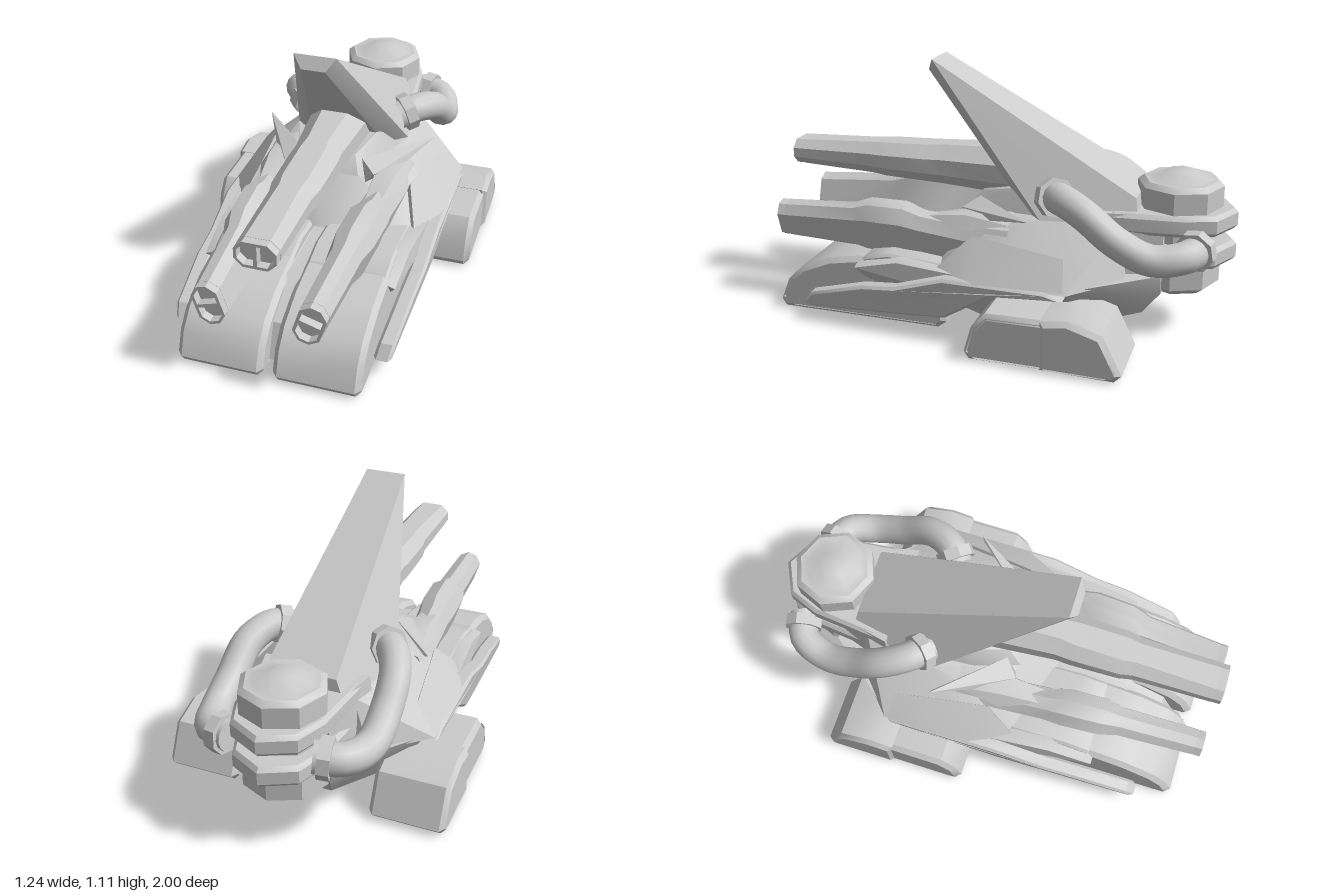
import * as THREE from 'three';
import { toCreasedNormals } from 'three/addons/utils/BufferGeometryUtils.js';
import { ConvexGeometry } from 'three/addons/geometries/ConvexGeometry.js';

const material = new THREE.MeshStandardMaterial({ color: 0xcccccc });

// Mirror a geometry across x = 0, restoring the winding.
function mirrored(geo) {
  const g = geo.index ? geo.toNonIndexed() : geo.clone();
  g.scale(-1, 1, 1);
  const p = g.attributes.position, a = new THREE.Vector3(), b = new THREE.Vector3();
  for (let i = 0; i < p.count; i += 3) {
    a.fromBufferAttribute(p, i + 1);
    b.fromBufferAttribute(p, i + 2);
    p.setXYZ(i + 1, b.x, b.y, b.z);
    p.setXYZ(i + 2, a.x, a.y, a.z);
  }
  return g;
}

// Convex solid from [x, y, z] points; 'both' adds the points at -x.
function hull(points, both = true) {
  const v = points.map(p => new THREE.Vector3(...p));
  if (both) for (const [x, y, z] of points) v.push(new THREE.Vector3(-x, y, z));
  return new ConvexGeometry(v);
}

const outline = pts => pts.map(p => new THREE.Vector2(...p));

// Side profile of [z, y] points, extruded from x0 to x1 with chamfered edges.
function slab(profile, x0, x1, bevel = 0.02, hole = null) {
  const shape = new THREE.Shape(outline(profile));
  if (hole) shape.holes.push(new THREE.Path(outline(hole)));
  return new THREE.ExtrudeGeometry(shape, {
    depth: x1 - x0 - 2 * bevel, bevelEnabled: bevel > 0, bevelSize: bevel,
    bevelOffset: -bevel, bevelThickness: bevel, bevelSegments: 1,
  }).rotateY(-Math.PI / 2).translate(x1 - bevel, 0, 0);
}

// Chamfered octagon, counter-clockwise, half sizes a and b.
function octagon(a, b, c = b * 0.62) {
  return [[a, -b + c], [a, b - c], [a - c, b], [c - a, b], [-a, b - c], [-a, c - b], [c - a, -b], [a - c, -b]];
}

// Octagonal loft through stations [z, cx, cy, a, b], front to back, rolled about z.
function loft(stations, roll) {
  const pos = [], idx = [], n = 8, cs = Math.cos(roll), sn = Math.sin(roll);
  for (const [z, cx, cy, a, b] of stations)
    for (const [x, y] of octagon(a, b)) pos.push(cx + x * cs - y * sn, cy + x * sn + y * cs, z);
  const last = stations.length - 1;
  for (let i = 0; i < last; i++) for (let j = 0; j < n; j++) {
    const a = i * n + j, b = i * n + (j + 1) % n;
    idx.push(a, a + n, b, b, a + n, b + n);
  }
  for (let j = 1; j < n - 1; j++) {
    idx.push(0, j, j + 1);
    idx.push(last * n, last * n + j + 1, last * n + j);
  }
  const g = new THREE.BufferGeometry();
  g.setAttribute('position', new THREE.Float32BufferAttribute(pos, 3));
  g.setIndex(idx);
  return g;
}

// Twin-bore muzzle ring that finishes a barrel at z = 1.
function muzzle(cx, cy, a, b, roll) {
  const shape = new THREE.Shape(outline(octagon(a, b)));
  const t = 0.012, k = b * 0.45, h = b - t;
  for (const s of [1, -1]) {
    const bore = [[t * 0.6, -h], [a - t - k, -h], [a - t, -h + k], [a - t, h - k], [a - t - k, h], [t * 0.6, h]];
    shape.holes.push(new THREE.Path(outline(bore.map(([x, y]) => [x * s, y]))));
  }
  return new THREE.ExtrudeGeometry(shape, { depth: 0.05, bevelEnabled: false })
    .rotateZ(roll).translate(cx, cy, 0.95);
}

export function createModel() {
  const model = new THREE.Group();
  const add = (name, geo) => {
    const g = geo.index ? geo.toNonIndexed() : geo.clone();
    g.deleteAttribute('uv');
    g.deleteAttribute('normal');
    g.computeVertexNormals();
    const mesh = new THREE.Mesh(toCreasedNormals(g, 0.6), material);
    mesh.name = name;
    model.add(mesh);
  };
  const addPair = (name, geo) => {
    add(name + 'Left', geo);
    add(name + 'Right', mirrored(geo));
  };

  // Front tracks: a tread loop around a recessed core
  const frontTread = [[0.2, 0], [0.93, 0], [0.95, 0.03], [0.91, 0.13], [0.84, 0.2], [0.7, 0.26], [0.56, 0.285], [0.3, 0.285], [0.16, 0.1], [0.16, 0.03]];
  const frontInset = [[0.22, 0.04], [0.87, 0.04], [0.9, 0.06], [0.86, 0.12], [0.8, 0.165], [0.69, 0.215], [0.55, 0.24], [0.32, 0.24], [0.21, 0.1]];
  addPair('frontTread', slab(frontTread, 0.02, 0.38, 0.022, frontInset));
  addPair('frontTrackCore', slab(frontInset, 0.045, 0.355, 0));
  add('trackSpine', slab([[0.15, 0.03], [0.86, 0.03], [0.8, 0.17], [0.6, 0.27], [0.15, 0.27]], -0.03, 0.03, 0));
  addPair('frontFender', slab([[0.15, 0.2], [0.57, 0.25], [0.53, 0.29], [0.42, 0.315], [0.15, 0.295]], 0.03, 0.375, 0.012));

  // Rear tracks with a wider tread band at the back
  const rearTread = [[-0.6, 0], [-0.02, 0], [0, 0.03], [-0.03, 0.14], [-0.09, 0.21], [-0.44, 0.215], [-0.56, 0.17], [-0.64, 0.03]];
  const rearInset = [[-0.57, 0.035], [-0.06, 0.035], [-0.04, 0.05], [-0.065, 0.13], [-0.11, 0.175], [-0.42, 0.18], [-0.53, 0.14], [-0.59, 0.05]];
  addPair('rearTread', slab(rearTread, 0.31, 0.608, 0.022, rearInset));
  addPair('rearTrackCore', slab(rearInset, 0.33, 0.585, 0));
  addPair('rearTreadBand', slab([[-0.62, 0], [-0.32, 0.005], [-0.32, 0.215], [-0.43, 0.232], [-0.57, 0.19], [-0.65, 0.03]],
    0.3, 0.622, 0.02, [[-0.58, 0.035], [-0.36, 0.035], [-0.36, 0.18], [-0.42, 0.185], [-0.54, 0.15], [-0.6, 0.05]]));

  // Hull
  add('lowerHull', hull([[0.24, 0.05, 0.12], [0.3, 0.05, 0], [0.3, 0.05, -0.35], [0.14, 0.09, -0.64],
    [0.36, 0.29, 0.18], [0.46, 0.29, 0], [0.46, 0.29, -0.4], [0.2, 0.29, -0.72], [0.17, 0.2, -0.72]]));
  add('upperHull', hull([[0.03, 0.29, 0.29], [0.03, 0.27, 0.25], [0.37, 0.28, 0.19], [0.48, 0.28, 0], [0.49, 0.28, -0.39],
    [0.28, 0.28, -0.58], [0.13, 0.47, 0.12], [0.3, 0.45, 0.0], [0.26, 0.5, -0.22], [0.2, 0.5, -0.55]]));
  addPair('hullProng', hull([[0.4, 0.28, 0.2], [0.49, 0.28, 0], [0.49, 0.29, -0.38], [0.4, 0.4, -0.36],
    [0.34, 0.43, 0.05], [0.3, 0.3, 0.05]], false));
  addPair('collarBlade', hull([[0.39, 0.535, -0.2], [0.37, 0.525, -0.19], [0.2, 0.5, 0.14], [0.13, 0.535, 0.08],
    [0.25, 0.53, -0.05], [0.16, 0.45, 0.13], [0.3, 0.49, -0.02]], false));

  // Long side armour, leaning inward toward its lower edge
  const armour = slab([[0.13, 0.1], [0.3, 0.085], [0.75, 0.06], [0.79, 0.075], [0.75, 0.13], [0.5, 0.2], [0.35, 0.215],
    [0.13, 0.285], [-0.3, 0.285], [-0.38, 0.255], [-0.08, 0.235]], 0.405, 0.475, 0.012);
  const p = armour.attributes.position;
  for (let i = 0; i < p.count; i++) {
    const y = p.getY(i), z = p.getZ(i);
    p.setX(i, p.getX(i) + (Math.min(y, 0.23) - 0.1) * 0.18 - Math.max(z, 0) * 0.02);
  }
  addPair('sideArmour', armour);
  addPair('sideFender', hull([[0.36, 0.28, 0.1], [0.44, 0.29, 0.1], [0.36, 0.31, 0.36], [0.42, 0.3, 0.36],
    [0.36, 0.27, 0.56], [0.41, 0.25, 0.56], [0.37, 0.18, 0.5], [0.45, 0.2, 0.1]], false));

  // Centre gun, with a turret block behind it
  add('centreBarrel', loft([[0.965, 0, 0.632, 0.084, 0.056], [0.62, 0, 0.632, 0.088, 0.072], [0.56, 0, 0.632, 0.1, 0.077],
    [0.35, 0, 0.632, 0.104, 0.085], [0.28, 0, 0.632, 0.1, 0.09], [0.02, 0, 0.633, 0.122, 0.103], [-0.3, 0, 0.63, 0.122, 0.1]], 0));
  add('centreMuzzle', muzzle(0, 0.632, 0.083, 0.055, 0));
  add('turretBlock', hull([[0.13, 0.48, 0.14], [0.1, 0.55, 0.08], [0.2, 0.5, -0.05], [0.17, 0.6, -0.1],
    [0.22, 0.5, -0.3], [0.18, 0.62, -0.3]]));

  // Side guns, rolled so their tops lean outward
  const roll = 1.27;
  addPair('sideBarrel', loft([[0.965, 0.2, 0.363, 0.086, 0.056], [0.63, 0.212, 0.372, 0.103, 0.062], [0.55, 0.217, 0.38, 0.126, 0.08],
    [0.38, 0.226, 0.382, 0.128, 0.082], [0.3, 0.232, 0.372, 0.11, 0.07], [0.1, 0.245, 0.365, 0.1, 0.07], [-0.1, 0.255, 0.37, 0.1, 0.07]], roll));
  addPair('sideMuzzle', muzzle(0.2, 0.363, 0.085, 0.055, roll));
  addPair('gunCowl', hull([[0.2, 0.46, 0.28], [0.27, 0.47, 0.28], [0.18, 0.44, 0.1], [0.33, 0.44, 0.1],
    [0.2, 0.5, 0.1], [0.29, 0.5, 0.1], [0.22, 0.51, -0.1], [0.31, 0.48, -0.1]], false));

  // Leaning shield
  add('shield', hull([[0.088, 1.107, 0.31], [0.05, 1.055, 0.338], [0.17, 0.5, -0.14], [0.26, 0.5, -0.22],
    [0.2, 0.48, -0.62], [0.15, 0.6, -0.6]]));

  // Rear reactor: octagonal drum between two stacked flanges
  const drum = [[0, 0.19], [0.14, 0.19], [0.18, 0.22], [0.18, 0.34], [0.15, 0.36], [0.15, 0.52], [0.18, 0.54],
    [0.18, 0.64], [0.155, 0.66], [0.12, 0.66], [0.06, 0.692], [0, 0.692]];
  add('reactorDrum', new THREE.LatheGeometry(outline(drum), 8).translate(0, 0, -0.757));
  const flange = new THREE.Shape(outline([[0.22, 0.5], [0.19, 0.8], [0.14, 0.93], [0, 1], [-0.14, 0.93], [-0.19, 0.8], [-0.22, 0.5]]));
  for (const [name, y] of [['lowerFlange', 0.32], ['upperFlange', 0.46]])
    add(name, new THREE.ExtrudeGeometry(flange, { depth: 0.054, bevelEnabled: true, bevelSize: 0.015,
      bevelOffset: -0.015, bevelThickness: 0.018, bevelSegments: 1 }).rotateX(-Math.PI / 2).translate(0, y + 0.018, 0));
  add('reactorMount', hull([[0.26, 0.29, -0.45], [0.23, 0.55, -0.45], [0.17, 0.25, -0.72], [0.17, 0.54, -0.72]]));

  // Coolant pipes with octagonal end collars
  const path = new THREE.CatmullRomCurve3([[0.2, 0.585, -0.25], [0.27, 0.605, -0.31], [0.325, 0.57, -0.42], [0.338, 0.47, -0.56],
    [0.332, 0.41, -0.7], [0.28, 0.42, -0.83], [0.17, 0.43, -0.87]].map(q => new THREE.Vector3(...q)));
  addPair('pipe', new THREE.TubeGeometry(path, 28, 0.066, 14));
  for (const [name, t] of [['pipeFrontCollar', 0.06], ['pipeRearCollar', 0.94]]) {
    const at = path.getPointAt(t);
    const turn = new THREE.Quaternion().setFromUnitVectors(new THREE.Vector3(0, 1, 0), path.getTangentAt(t));
    addPair(name, new THREE.CylinderGeometry(0.085, 0.085, 0.05, 8).applyQuaternion(turn).translate(at.x, at.y, at.z));
  }
  return model;
}
